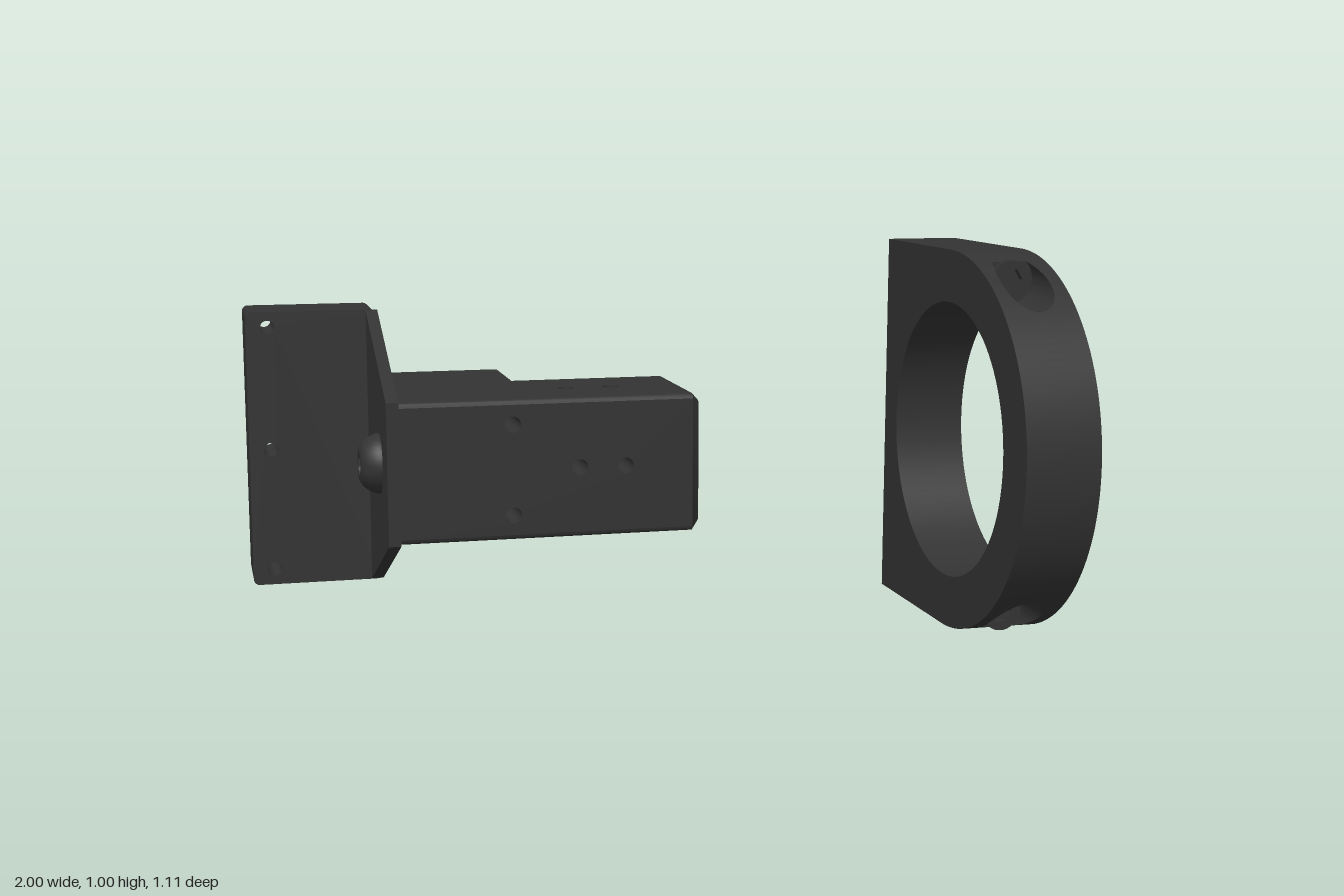
import * as THREE from 'three';
import { toCreasedNormals } from 'three/addons/utils/BufferGeometryUtils.js';

const mat = new THREE.MeshStandardMaterial({ color: 0x333333, side: THREE.DoubleSide });
const CY = 0.505; // shared centre height

function add(parent, geo, name) {
  const m = new THREE.Mesh(geo, mat);
  m.name = name;
  parent.add(m);
  return m;
}

// Geometry from a list of four-cornered faces
function fromQuads(quads) {
  const pos = [];
  for (const [a, b, c, d] of quads) pos.push(...a, ...b, ...c, ...a, ...c, ...d);
  const g = new THREE.BufferGeometry();
  g.setAttribute('position', new THREE.Float32BufferAttribute(pos, 3));
  return toCreasedNormals(g, 0.5);
}

// Rectangle with rounded corners and round holes [x, y]
function plateShape(x0, x1, y0, y1, r, holes = [], hr = 0.02) {
  const s = new THREE.Shape();
  s.absarc(x1 - r, y1 - r, r, 0, Math.PI / 2);
  s.absarc(x0 + r, y1 - r, r, Math.PI / 2, Math.PI);
  s.absarc(x0 + r, y0 + r, r, Math.PI, Math.PI * 1.5);
  s.absarc(x1 - r, y0 + r, r, Math.PI * 1.5, Math.PI * 2);
  for (const [x, y] of holes) s.holes.push(new THREE.Path().absarc(x, y, hr, 0, Math.PI * 2, true));
  return s;
}

function extrude(shape, depth, curveSegments = 10) {
  return toCreasedNormals(new THREE.ExtrudeGeometry(shape, { depth, bevelEnabled: false, curveSegments }), 0.6);
}

function buildRing() {
  const g = new THREE.Group();
  g.name = 'clampRing';
  const X0 = 0.803, X1 = 1, XC = 0.9, R = 0.502, CZ = 0.053, HOLE = 0.365, BACK = -0.4;
  const boltOff = 0.435, boreR = 0.065, floorZ = 0.2;

  // D-shaped side faces
  const d = new THREE.Shape();
  d.moveTo(-BACK, CY - R);
  d.lineTo(-BACK, CY + R);
  d.lineTo(-CZ, CY + R);
  d.absarc(-CZ, CY, R, Math.PI / 2, Math.PI * 1.5);
  d.holes.push(new THREE.Path().absarc(-CZ, CY, HOLE, 0, Math.PI * 2, true));
  for (const [x, name] of [[X1, 'ringLeftFace'], [X0, 'ringRightFace']]) {
    add(g, new THREE.ShapeGeometry(d, 48).rotateY(Math.PI / 2).translate(x, 0, 0), name);
  }
  add(g, new THREE.CylinderGeometry(HOLE, HOLE, X1 - X0, 96, 1, true).rotateZ(Math.PI / 2)
    .translate((X0 + X1) / 2, CY, CZ), 'ringBore');

  // Curved front with two bolt pockets cut along z
  const a = Math.asin((boltOff - boreR) / R), b = Math.acos((floorZ - CZ) / R);
  const up = [0];
  for (let i = 1; i <= 20; i++) up.push(a * i / 20);
  for (let i = 1; i <= 20; i++) up.push(a + (b - a) * (i / 20) ** 2);
  for (let i = 1; i <= 8; i++) up.push(b + (Math.PI / 2 - b) * i / 8);
  const angles = [...up.slice(1).reverse().map(t => -t), ...up];
  const yz = t => [CY + R * Math.sin(t), CZ + R * Math.cos(t)];
  const half = t => Math.sqrt(Math.max(0, boreR ** 2 - (R * Math.abs(Math.sin(t)) - boltOff) ** 2));
  const skin = [], pocket = [];
  for (let i = 0; i < angles.length - 1; i++) {
    const t0 = angles[i], t1 = angles[i + 1], mid = Math.abs(t0 + t1) / 2;
    const [y0, z0] = yz(t0), [y1, z1] = yz(t1);
    const strip = (l0, r0, r1, l1) => skin.push([[l0, y0, z0], [r0, y0, z0], [r1, y1, z1], [l1, y1, z1]]);
    if (mid < a || mid > b) { strip(X0, X1, X1, X0); continue; }
    const l0 = XC - half(t0), r0 = XC + half(t0), l1 = XC - half(t1), r1 = XC + half(t1);
    strip(X0, l0, l1, X0);
    strip(r0, X1, X1, r1);
    pocket.push([[l0, y0, floorZ], [l1, y1, floorZ], [l1, y1, z1], [l0, y0, z0]],
      [[r0, y0, z0], [r1, y1, z1], [r1, y1, floorZ], [r0, y0, floorZ]],
      [[l0, y0, floorZ], [r0, y0, floorZ], [r1, y1, floorZ], [l1, y1, floorZ]]);
  }
  add(g, fromQuads(skin), 'ringOuterSurface');
  add(g, fromQuads(pocket), 'boltPockets');

  // Flat top, bottom and back
  const T = CY + R, B = CY - R;
  add(g, fromQuads([
    [[X0, T, CZ], [X1, T, CZ], [X1, T, BACK], [X0, T, BACK]],
    [[X0, B, BACK], [X1, B, BACK], [X1, B, CZ], [X0, B, CZ]],
    [[X1, B, BACK], [X0, B, BACK], [X0, T, BACK], [X1, T, BACK]],
  ]), 'ringFlats');

  // Bolts: socket heads in the pockets, shanks out of the back
  for (const s of [1, -1]) {
    const y = CY + s * boltOff;
    const head = new THREE.Shape().absarc(0, 0, 0.05, 0, Math.PI * 2);
    const hex = new THREE.Path();
    hex.setFromPoints([0, 1, 2, 3, 4, 5].map(k =>
      new THREE.Vector2(0.03 * Math.cos(-k * Math.PI / 3), 0.03 * Math.sin(-k * Math.PI / 3))));
    hex.closePath();
    head.holes.push(hex);
    add(g, extrude(head, 0.07, 24).translate(XC, y, 0.15), 'boltHead');
    add(g, new THREE.CircleGeometry(0.04, 16).translate(XC, y, 0.18), 'boltSocketFloor');
    add(g, new THREE.CylinderGeometry(0.035, 0.035, 0.175, 28).rotateX(Math.PI / 2)
      .translate(XC, y, -0.4675), 'boltShank');
  }
  return g;
}

function buildBody() {
  const g = new THREE.Group();
  g.name = 'sensorBody';
  g.position.set(0, CY, 0.0525);
  const X0 = -0.665, XE = 0.06, X1 = 0.08, H = 0.1725, C = 0.012, N = 4, HR = 0.02;
  const cross = [[-0.225, 0], [-0.11, 0]], mounts = [[-0.39, 0.112], [-0.39, -0.112]];

  // Four long faces: front and back carry the mounting holes as well
  ['frontFace', 'bottomFace', 'backFace', 'topFace'].forEach((name, k) => {
    const s = plateShape(X0, XE, -H + C, H - C, 0.0005, k % 2 ? cross : [...cross, ...mounts], HR);
    add(g, new THREE.ShapeGeometry(s, 10).translate(0, 0, H).rotateX(k * Math.PI / 2), name);
    // Hole walls stop short of the point where the holes cross
    for (const [x] of cross) {
      add(g, new THREE.CylinderGeometry(HR, HR, H - HR, 20, 1, true).rotateX(Math.PI / 2)
        .translate(x, 0, (H + HR) / 2).rotateX(k * Math.PI / 2), 'crossHole');
    }
  });
  for (const [x, y] of mounts) {
    add(g, new THREE.CylinderGeometry(HR, HR, 2 * H, 20, 1, true).rotateX(Math.PI / 2)
      .translate(x, y, 0), 'mountHole');
  }

  // Rounded long edges and chamfered end
  const sec = [];
  for (let k = 0; k < 4; k++) for (let i = 0; i <= N; i++) {
    const t = (k + i / N) * Math.PI / 2, m = (k + 0.5) * Math.PI / 2;
    sec.push([Math.sign(Math.cos(m)) * (H - C) + C * Math.cos(t), Math.sign(Math.sin(m)) * (H - C) + C * Math.sin(t)]);
  }
  const f = (H - 0.02) / H, edges = [], chamfer = [];
  sec.forEach((p, j) => {
    const q = sec[(j + 1) % sec.length];
    if (j % (N + 1) !== N) edges.push([[X0, ...p], [X0, ...q], [XE, ...q], [XE, ...p]]);
    chamfer.push([[XE, ...p], [XE, ...q], [X1, q[0] * f, q[1] * f], [X1, p[0] * f, p[1] * f]]);
  });
  add(g, fromQuads(edges), 'roundedEdges');
  add(g, fromQuads(chamfer), 'endChamfer');
  const cap = new THREE.Shape(sec.map(([y, z]) => new THREE.Vector2(-z, y)));
  add(g, new THREE.ShapeGeometry(cap).scale(f, f, 1).rotateY(Math.PI / 2).translate(X1, 0, 0), 'endFace');
  add(g, new THREE.ShapeGeometry(cap).rotateY(Math.PI / 2).translate(X0, 0, 0), 'rearFace');
  return g;
}

function buildBracket() {
  const g = new THREE.Group();
  g.name = 'bracket';
  // Upright mounting block and the arm that carries the body
  add(g, extrude(plateShape(-1, -0.67, 0.15, 0.86, 0.015, [0.82, CY, 0.19].map(y => [-0.945, y]), 0.018), 0.19)
    .translate(0, 0, -0.4), 'mountingBlock');
  add(g, extrude(plateShape(-0.672, -0.325, 0.34, 0.67, 0.002, [[-0.39, 0.617], [-0.39, 0.393]]), 0.28)
    .translate(0, 0, -0.4), 'supportArm');

  // Tapered gusset plate
  const s = new THREE.Shape();
  s.moveTo(-0.225, 0.33);
  s.lineTo(0.215, 0.15);
  s.lineTo(0.215, 0.86);
  s.lineTo(-0.225, 0.68);
  s.closePath();
  add(g, extrude(s, 0.03).rotateY(Math.PI / 2).translate(-0.695, 0, 0), 'gussetPlate');

  // Domed screw head with a socket
  const profile = [[0, 0.02], [0.028, 0.02], [0.028, 0.052], [0.042, 0.052], [0.056, 0.043],
    [0.067, 0.029], [0.074, 0.012], [0.075, 0]].map(p => new THREE.Vector2(...p));
  const dome = toCreasedNormals(new THREE.LatheGeometry(profile, 36), 0.6);
  add(g, dome.rotateZ(Math.PI / 2).translate(-0.693, CY, 0.05), 'screwHead');
  return g;
}

export function createModel() {
  const model = new THREE.Group();
  model.name = 'sensorAndClamp';
  model.add(buildRing(), buildBody(), buildBracket());
  return model;
}
